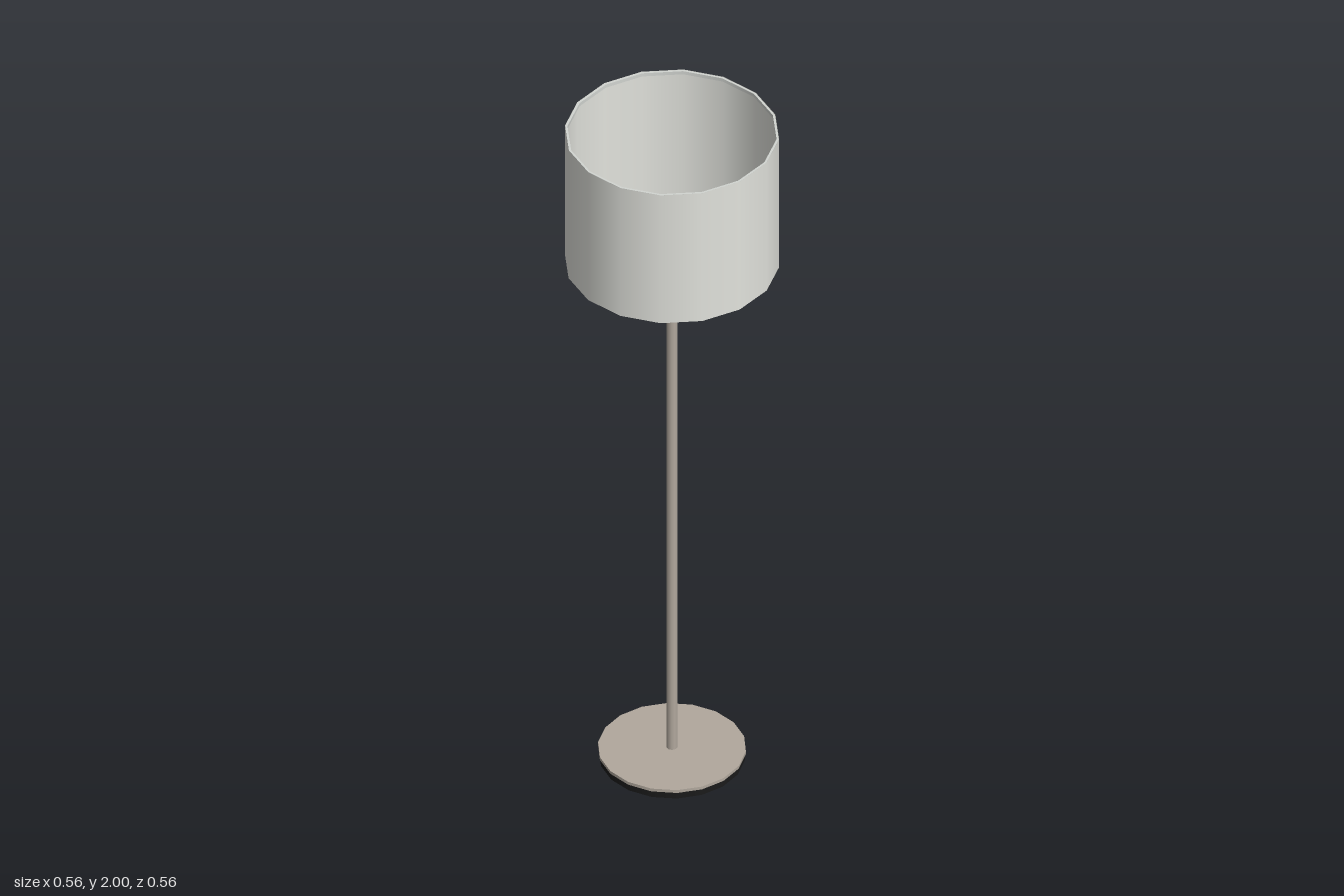
import * as THREE from 'three';

export function createModel() {
  const lamp = new THREE.Group();
  const material = (name, color, side = THREE.FrontSide) => {
    const m = new THREE.MeshStandardMaterial({ color, side });
    m.name = name;
    return m;
  };
  const fabric = material('off-white fabric', 0xe2e3dd, THREE.DoubleSide);
  const metal = material('beige metal', 0xb1a89d);
  const rubber = material('black underside', 0x1a1a1a);
  const fitting = material('pale grey fitting', 0xd2d5d1);

  const add = (name, geometry, mat, y = 0, parent = lamp) => {
    const mesh = new THREE.Mesh(geometry, mat);
    mesh.name = name;
    mesh.position.y = y;
    parent.add(mesh);
    return mesh;
  };

  // Foot: black pad under a beige plate, 18 sides with a corner on the x axis
  const disc = (r, h) => new THREE.CylinderGeometry(r, r, h, 18).rotateY(Math.PI / 2);
  add('basePad', disc(0.19, 0.02), rubber, 0.01);
  add('basePlate', disc(0.193, 0.009), metal, 0.0245);

  // Pole
  add('pole', new THREE.CylinderGeometry(0.0145, 0.0145, 1.635, 12), metal, 0.0275 + 1.635 / 2);

  // Drum shade, open at both ends, with a thin hoop inside each edge
  const bottom = 1.59, top = 2;
  add('shade', new THREE.CylinderGeometry(0.28, 0.28, top - bottom, 16, 1, true), fabric, (top + bottom) / 2);
  const hoopProfile = [[0.273, -0.005], [0.279, -0.005], [0.279, 0.005], [0.273, 0.005], [0.273, -0.005]];
  const hoop = () => {
    // Each side of the profile is its own band, so the hoop keeps square edges
    const group = new THREE.Group();
    for (let i = 0; i < 4; i++) {
      const pts = [hoopProfile[i], hoopProfile[i + 1]].map(p => new THREE.Vector2(...p));
      add('hoopBand', new THREE.LatheGeometry(pts, 16), fitting, 0, group);
    }
    return group;
  };
  for (const [name, y] of [['topHoop', top - 0.0055], ['bottomHoop', bottom + 0.0055]]) {
    const ring = hoop();
    ring.name = name;
    ring.position.y = y;
    lamp.add(ring);
  }

  // Hub ring with three small lugs on its edge
  const ringShape = (radius, lug) => {
    const shape = new THREE.Shape();
    const points = [];
    for (let i = 0; i < 3; i++) {
      const a = (i * 2 * Math.PI) / 3 + 0.87;
      for (const [da, r] of [[-0.17, radius], [-0.15, lug], [0.15, lug], [0.17, radius], [0.75, radius], [1.34, radius]]) {
        points.push(new THREE.Vector2(Math.cos(a + da) * r, Math.sin(a + da) * r));
      }
    }
    shape.setFromPoints(points);
    shape.holes.push(new THREE.Path().absarc(0, 0, 0.018, 0, Math.PI * 2, true));
    return shape;
  };
  const ring = (radius, lug, depth) => new THREE.ExtrudeGeometry(ringShape(radius, lug),
    { depth, bevelEnabled: false, curveSegments: 12 }).rotateX(-Math.PI / 2);
  add('hubRing', ring(0.036, 0.042, 0.012), fitting, 1.645);
  add('hubCollar', ring(0.028, 0.028, 0.018), fitting, 1.645);

  // Three curved spokes falling from the hub to the bottom hoop
  const spokePath = new THREE.CatmullRomCurve3([
    [0.03, 1.652], [0.09, 1.649], [0.15, 1.637], [0.21, 1.617], [0.273, 1.597],
  ].map(([r, y]) => new THREE.Vector3(0, y, -r)));
  const spokeGeometry = new THREE.TubeGeometry(spokePath, 12, 0.0018, 6);
  for (let i = 0; i < 3; i++) {
    add('spoke', spokeGeometry, fitting).rotation.y = (i * 2 * Math.PI) / 3;
  }

  return lamp;
}
